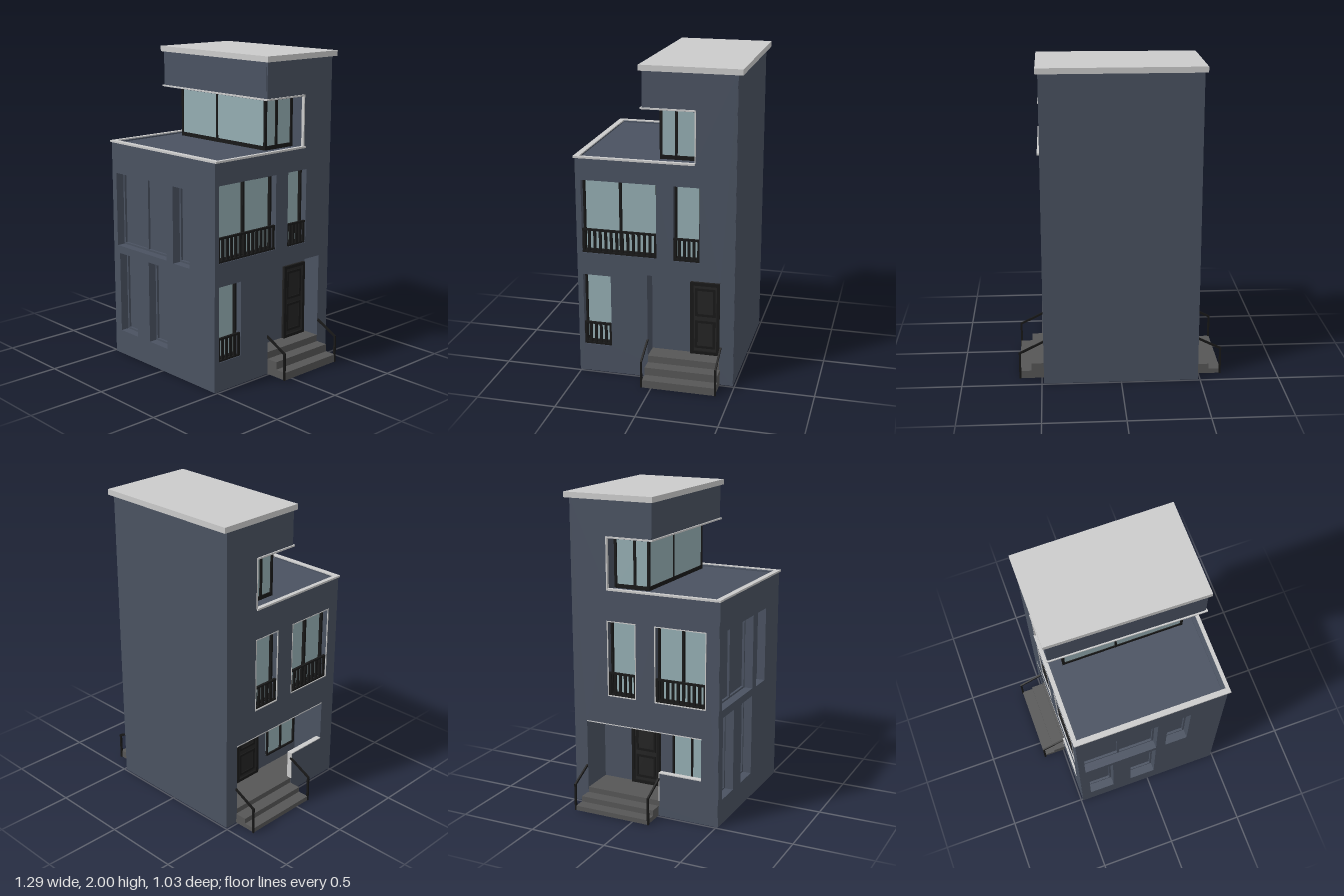
import * as THREE from 'three';

const mat = (c) => new THREE.MeshStandardMaterial({ color: c });
const WALL = mat(0x4a5261), LIGHT = mat(0xcccccc), BLACK = mat(0x181818);
const GLASS = mat(0x94adb2), STEP = mat(0x565656), DOOR = mat(0x242424);
const T = 0.03; // wall thickness

function add(parent, name, geo, material) {
  const m = new THREE.Mesh(geo, material);
  m.name = name;
  parent.add(m);
  return m;
}

// box given by its extents
function box(parent, name, material, x0, x1, y0, y1, z0, z1) {
  const g = new THREE.BoxGeometry(x1 - x0, y1 - y0, z1 - z0);
  g.translate((x0 + x1) / 2, (y0 + y1) / 2, (z0 + z1) / 2);
  return add(parent, name, g, material);
}

const poly = (pts) => new THREE.Shape(pts.map((p) => new THREE.Vector2(p[0], p[1])));
const rect = (u0, u1, y0, y1) => [[u0, y0], [u1, y0], [u1, y1], [u0, y1]];

// flat plate with holes between z0 and z1
function plate(parent, name, material, pts, holes, z0, z1) {
  const s = poly(pts);
  s.holes = holes.map(poly);
  const g = new THREE.ExtrudeGeometry(s, { depth: z1 - z0, bevelEnabled: false });
  g.translate(0, 0, z0);
  return add(parent, name, g, material);
}

function ring(parent, name, material, [u0, u1, y0, y1], t, z0, z1) {
  return plate(parent, name, material, rect(u0, u1, y0, y1),
    [rect(u0 + t, u1 - t, y0 + t, y1 - t)], z0, z1);
}

// sleeve lining a recess behind an opening
function sleeve(parent, [u0, u1, y0, y1], depth, material = WALL) {
  ring(parent, 'reveal', material, [u0 - 0.008, u1 + 0.008, y0 - 0.008, y1 + 0.008], 0.008, -depth - 0.01, -0.002);
}

// glazed window with optional balustrade of height railH
function glazedWindow(face, r, panes, railH) {
  const [u0, u1, y0, y1] = r, d = 0.06;
  const g = new THREE.Group();
  g.name = 'window';
  face.add(g);
  sleeve(g, r, d);
  box(g, 'glass', GLASS, u0, u1, y0, y1, -d - 0.01, -d);
  ring(g, 'windowFrame', BLACK, r, 0.012, -d, -d + 0.02);
  for (let i = 1; i < panes; i++) {
    const u = u0 + (u1 - u0) * i / panes;
    box(g, 'mullion', BLACK, u - 0.007, u + 0.007, y0, y1, -d, -d + 0.02);
  }
  box(g, 'balustradeRail', BLACK, u0, u1, y0 + railH - 0.012, y0 + railH, -0.022, -0.006);
  box(g, 'balustradeRail', BLACK, u0, u1, y0, y0 + 0.012, -0.022, -0.006);
  const n = Math.round((u1 - u0) / 0.036);
  for (let i = 0; i <= n; i++) {
    const u = u0 + 0.008 + (u1 - u0 - 0.016) * i / n;
    box(g, 'baluster', BLACK, u - 0.008, u + 0.008, y0, y0 + railH, -0.02, -0.008);
  }
}

// blind recessed window in the wall colour
function blindWindow(face, r, panes) {
  const [u0, u1, y0, y1] = r, d = 0.07;
  sleeve(face, r, d);
  box(face, 'blindPanel', WALL, u0, u1, y0, y1, -d - 0.01, -d);
  ring(face, 'blindFrame', WALL, r, 0.012, -d, -d + 0.015);
  for (let i = 1; i < panes; i++) {
    const u = u0 + (u1 - u0) * i / panes;
    box(face, 'blindMullion', WALL, u - 0.006, u + 0.006, y0, y1, -d, -d + 0.015);
  }
}

function door(face, u0, u1, y0, y1, z) {
  box(face, 'door', DOOR, u0, u1, y0, y1, z, z + 0.01);
  ring(face, 'doorFrame', BLACK, [u0, u1, y0, y1], 0.02, z, z + 0.022);
  const mid = y0 + (y1 - y0) * 0.5;
  for (const [a, b] of [[y0 + 0.04, mid - 0.015], [mid + 0.015, y1 - 0.04]]) {
    ring(face, 'doorPanel', BLACK, [u0 + 0.03, u1 - 0.03, a, b], 0.015, z, z + 0.016);
  }
}

// square bar between two points in an x-y plane
function bar(parent, name, x0, y0, x1, y1, z) {
  const m = add(parent, name, new THREE.BoxGeometry(Math.hypot(x1 - x0, y1 - y0) + 0.01, 0.013, 0.011), BLACK);
  m.position.set((x0 + x1) / 2, (y0 + y1) / 2, z);
  m.rotation.z = Math.atan2(y1 - y0, x1 - x0);
}

// steps with handrails on side s, tops listed from outermost inwards
function stairs(root, s, z0, z1, tops) {
  const g = new THREE.Group();
  g.name = s > 0 ? 'leftStairs' : 'rightStairs';
  root.add(g);
  [[0.565, 0.64], [0.48, 0.565]].forEach(([a, b], i) =>
    box(g, 'step', STEP, Math.min(s * a, s * b), Math.max(s * a, s * b), 0, tops[i], z0, z1));
  for (const z of [z0 - 0.002, z1 + 0.002]) {
    bar(g, 'handrailPost', s * 0.637, 0.005, s * 0.637, 0.172, z);
    bar(g, 'handrail', s * 0.637, 0.174, s * 0.485, 0.25, z);
  }
}

function makeFace(root, name, x, z, turn) {
  const g = new THREE.Group();
  g.name = name;
  g.position.set(x, 0, z);
  g.rotation.y = turn;
  root.add(g);
  return g;
}

export function createModel() {
  const root = new THREE.Group();
  root.name = 'townhouse';

  // front wall with blind windows
  const front = makeFace(root, 'frontFace', 0, 0.51, 0);
  const blinds = [[-0.445, 0.045, 0.74, 1.22], [0.11, 0.26, 0.735, 1.22],
    [-0.425, -0.255, 0.16, 0.69], [-0.13, 0.045, 0.16, 0.69]];
  plate(front, 'frontWall', WALL, rect(-0.485, 0.485, 0, 1.42), blinds.map((b) => rect(...b)), -T, 0);
  blinds.forEach((b, i) => blindWindow(front, b, i === 0 ? 2 : 1));

  box(root, 'backWall', WALL, -0.485, 0.485, 0, 1.97, -0.49, -0.49 + T);

  // side wall outline with the notch of the top floor
  const outline = (s, f) => [[-0.488, 0], [0.508, 0], [0.508, 1.42], [-0.24, 1.42], [-0.24, 1.74],
    [f, 1.74], [f, 1.97], [-0.488, 1.97]].map(([z, y]) => [s * z, y]);

  // left side (u = -z): windows and door niche
  const left = makeFace(root, 'leftFace', 0.487, 0, Math.PI / 2);
  const leftWins = [[[-0.475, 0, 0.805, 1.275], 2, 0.155], [[0.105, 0.27, 0.8, 1.275], 1, 0.145],
    [[-0.475, -0.295, 0.185, 0.66], 1, 0.15]];
  const niche = [-0.06, 0.4, 0.1, 0.69];
  plate(left, 'leftWall', WALL, outline(-1, 0.083), [...leftWins.map((w) => rect(...w[0])), rect(...niche)], -T, 0);
  leftWins.forEach((w) => glazedWindow(left, ...w));
  sleeve(left, niche, 0.12);
  box(left, 'nicheBack', WALL, -0.06, 0.4, 0.1, 0.69, -0.13, -0.12);
  box(left, 'nicheFloor', STEP, -0.06, 0.4, 0.1, 0.145, -0.12, 0);
  door(left, 0.19, 0.38, 0.145, 0.63, -0.12);

  // right side (u = z): windows and open porch with a low wall
  const right = makeFace(root, 'rightFace', -0.487, 0, -Math.PI / 2);
  const rightWins = [[[0.085, 0.42, 0.745, 1.22], 2, 0.15], [[-0.24, -0.05, 0.745, 1.22], 1, 0.15]];
  const porch = [[-0.4, 0.06], [0.11, 0.06], [0.11, 0.285], [0.395, 0.285], [0.395, 0.555], [-0.4, 0.555]];
  plate(right, 'rightWall', WALL, outline(1, 0.065), [...rightWins.map((w) => rect(...w[0])), porch], -T, 0);
  for (const w of rightWins) {
    glazedWindow(right, ...w);
    const [a, b, c, d] = w[0];
    ring(right, 'windowTrim', LIGHT, [a - 0.004, b + 0.004, c - 0.004, d + 0.004], 0.006, -0.004, 0.002);
  }
  const P = 0.225; // porch depth
  sleeve(right, [-0.4, 0.395, 0.06, 0.555], P);
  box(right, 'porchBack', WALL, -0.4, 0.395, 0.06, 0.555, -P - 0.01, -P);
  box(right, 'porchFloor', STEP, -0.4, 0.395, 0.06, 0.1, -P, -0.002);
  box(right, 'lowWallCap', LIGHT, 0.108, 0.395, 0.283, 0.289, -T - 0.002, 0.002);
  box(right, 'lowWallEnd', LIGHT, 0.106, 0.111, 0.1, 0.289, -T - 0.002, 0.002);
  box(right, 'porchTopTrim', LIGHT, -0.4, 0.395, 0.551, 0.557, -0.006, 0.002);
  door(right, -0.19, 0.01, 0.1, 0.52, -P);
  box(right, 'porchGlass', GLASS, 0.1, 0.37, 0.18, 0.5, -P - 0.014, -P + 0.004);
  ring(right, 'porchWindowFrame', BLACK, [0.1, 0.37, 0.18, 0.5], 0.012, -P, -P + 0.015);
  box(right, 'porchMullion', BLACK, 0.229, 0.241, 0.18, 0.5, -P, -P + 0.015);

  stairs(root, 1, -0.405, 0.06, [0.05, 0.1]);
  stairs(root, -1, -0.405, 0.105, [0.03, 0.065]);

  // terrace floor and its thin edging
  box(root, 'terraceFloor', WALL, -0.47, 0.47, 1.385, 1.412, -0.46, 0.49);
  box(root, 'terraceFrontEdge', LIGHT, -0.495, 0.505, 1.415, 1.427, 0.48, 0.515);
  box(root, 'terraceRightEdge', LIGHT, -0.495, -0.468, 1.415, 1.427, -0.24, 0.48);
  box(root, 'terraceLeftEdge', LIGHT, 0.482, 0.505, 1.415, 1.427, -0.24, 0.48);

  // glazed top room
  box(root, 'topRoomBackWall', WALL, -0.48, 0.48, 1.4, 1.75, -0.27, -0.241);
  box(root, 'topRoomGlass', GLASS, -0.38, 0.38, 1.412, 1.74, -0.241, -0.005);
  for (const [y0, y1] of [[1.412, 1.437], [1.728, 1.742]]) {
    box(root, 'topRoomFrame', BLACK, -0.387, 0.387, y0, y1, -0.24, 0);
  }
  for (const s of [-1, 1]) {
    for (const [x, z] of [[s * 0.381, -0.007], [s * 0.381, -0.1], [s * 0.381, -0.233]]) {
      box(root, 'topRoomPost', BLACK, x - 0.008, x + 0.008, 1.412, 1.742, z - 0.008, z + 0.008);
    }
    const x = s * 0.48;
    box(root, 'notchTrim', LIGHT, x - 0.01, x + 0.01, 1.425, 1.745, -0.243, -0.235);
  }
  box(root, 'topRoomMullion', BLACK, -0.053, -0.04, 1.412, 1.742, -0.01, 0.001);

  // horizontal slab whose front edge runs slightly askew
  const slab = (name, material, x, back, fr, fl, y0, y1) => {
    const m = plate(root, name, material, [[-x, -fr], [x, -fl], [x, -back], [-x, -back]], [], y0, y1);
    m.rotation.x = -Math.PI / 2;
  };
  slab('overhangFront', WALL, 0.48, 0.03, 0.067, 0.085, 1.741, 1.97);
  slab('overhangTrim', LIGHT, 0.495, -0.24, 0.075, 0.095, 1.736, 1.746);
  slab('overhangSoffit', WALL, 0.484, -0.245, 0.066, 0.084, 1.733, 1.74);
  slab('roof', LIGHT, 0.503, -0.52, 0.08, 0.1, 1.965, 2);

  return root;
}
